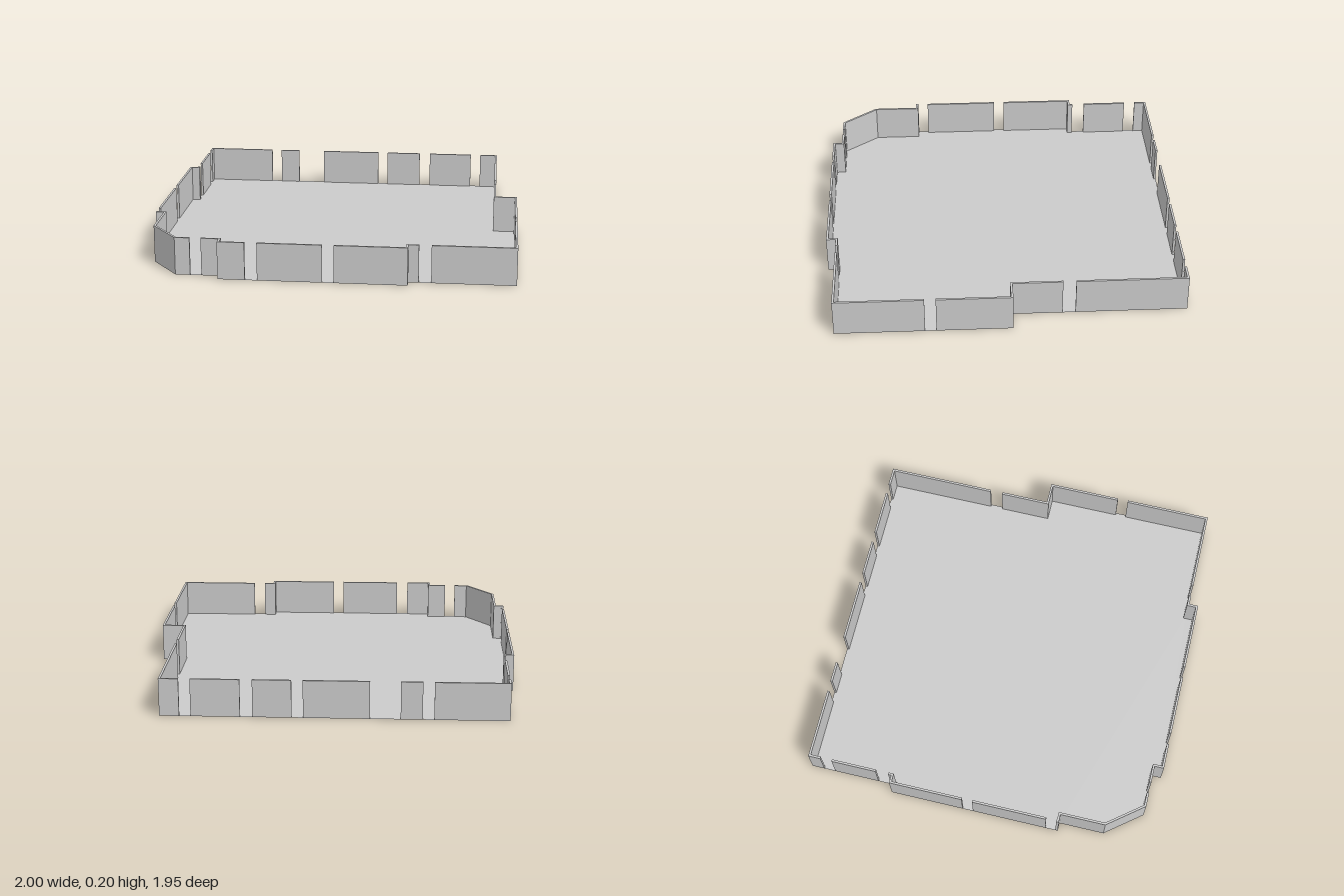
import * as THREE from 'three';

const HEIGHT = 0.205;
const THICK = 0.012;

// Floor outline: corner [x, z] plus the openings [from, to] of the wall
// that starts there, in x or z, whichever the wall runs along.
const walls = [
  { name: 'backWall', at: [-0.955, -0.975], gaps: [[-0.56, -0.5], [-0.385, -0.225], [0.125, 0.185], [0.39, 0.455], [0.715, 0.775]] },
  { name: 'leftRearWall', at: [0.88, -0.975], gaps: [[-0.37, -0.3]] },
  { name: 'leftStep', at: [0.88, -0.028] },
  { name: 'leftFrontWall', at: [1, -0.028], gaps: [[0.38, 0.44]] },
  { name: 'frontLeftWall', at: [1, 0.923], gaps: [[0.49, 0.555]] },
  { name: 'frontLeftStep', at: [0.435, 0.923] },
  { name: 'frontWall', at: [0.435, 0.975], gaps: [[-0.42, -0.355], [-0.012, 0.05]] },
  { name: 'frontRightStep', at: [-0.565, 0.975] },
  { name: 'frontRightWall', at: [-0.565, 0.923], gaps: [[-0.72, -0.66]] },
  { name: 'cornerWall', at: [-0.8, 0.923] },
  { name: 'rightFrontWall', at: [-0.955, 0.725] },
  { name: 'rightFrontStep', at: [-0.955, 0.472] },
  { name: 'rightWall', at: [-1, 0.472], gaps: [[-0.08, -0.02], [0.4, 0.458]] },
  { name: 'rightRearStep', at: [-1, -0.495] },
  { name: 'rightRearWall', at: [-0.955, -0.495], gaps: [[-0.585, -0.512], [-0.905, -0.84]] },
];

const corners = walls.map((w) => new THREE.Vector2(...w.at));
const count = corners.length;
const corner = (i) => corners[(i + count) % count];

// Unit normal of wall i, pointing into the room
function inward(i) {
  const d = corner(i + 1).clone().sub(corner(i)).normalize();
  return new THREE.Vector2(-d.y, d.x);
}

// Inner end of the mitre at corner i
function mitre(i) {
  const a = inward(i - 1), b = inward(i);
  return corner(i).clone().addScaledVector(a.clone().add(b), THICK / (1 + a.dot(b)));
}

// Plan shapes use (x, z); turn them flat with z kept pointing forward
const layFlat = (geometry, y) => geometry.rotateX(Math.PI / 2).translate(0, y, 0);

function wallPiece(points, material) {
  const geometry = new THREE.ExtrudeGeometry(new THREE.Shape(points), { depth: HEIGHT, bevelEnabled: false });
  return new THREE.Mesh(layFlat(geometry, HEIGHT), material);
}

function buildWall(i, material) {
  const group = new THREE.Group();
  group.name = walls[i].name;
  const p = corner(i), q = corner(i + 1), n = inward(i);
  const axis = Math.abs(q.x - p.x) > Math.abs(q.y - p.y) ? 'x' : 'y';

  // Openings as fractions along the wall
  const cuts = (walls[i].gaps || [])
    .flat()
    .map((v) => (v - p[axis]) / (q[axis] - p[axis]))
    .sort((a, b) => a - b);

  // Cross-cuts [outer, inner]: mitred at the corners, square at the openings
  const ends = [
    [p, mitre(i)],
    ...cuts.map((t) => {
      const outer = p.clone().lerp(q, t);
      return [outer, outer.clone().addScaledVector(n, THICK)];
    }),
    [q, mitre(i + 1)],
  ];
  for (let k = 0; k < ends.length; k += 2) {
    const [a, b] = [ends[k], ends[k + 1]];
    const piece = wallPiece([a[0], b[0], b[1], a[1]], material);
    piece.name = 'wallPanel';
    group.add(piece);
  }
  return group;
}

export function createModel() {
  const model = new THREE.Group();
  model.name = 'walledFloorPlan';
  const grey = new THREE.MeshStandardMaterial({ color: 0xcccccc });

  // Thin floor slab under everything
  const floorMaterial = new THREE.MeshStandardMaterial({ color: 0xcccccc, side: THREE.DoubleSide });
  const floor = new THREE.Mesh(layFlat(new THREE.ShapeGeometry(new THREE.Shape(corners)), 0), floorMaterial);
  floor.name = 'floor';
  // The sheet faces down once laid flat; flip it so its front is the top
  floor.geometry.index.array.reverse();
  floor.geometry.computeVertexNormals();
  model.add(floor);

  // Perimeter walls with door and window openings
  walls.forEach((_, i) => model.add(buildWall(i, grey)));
  return model;
}
